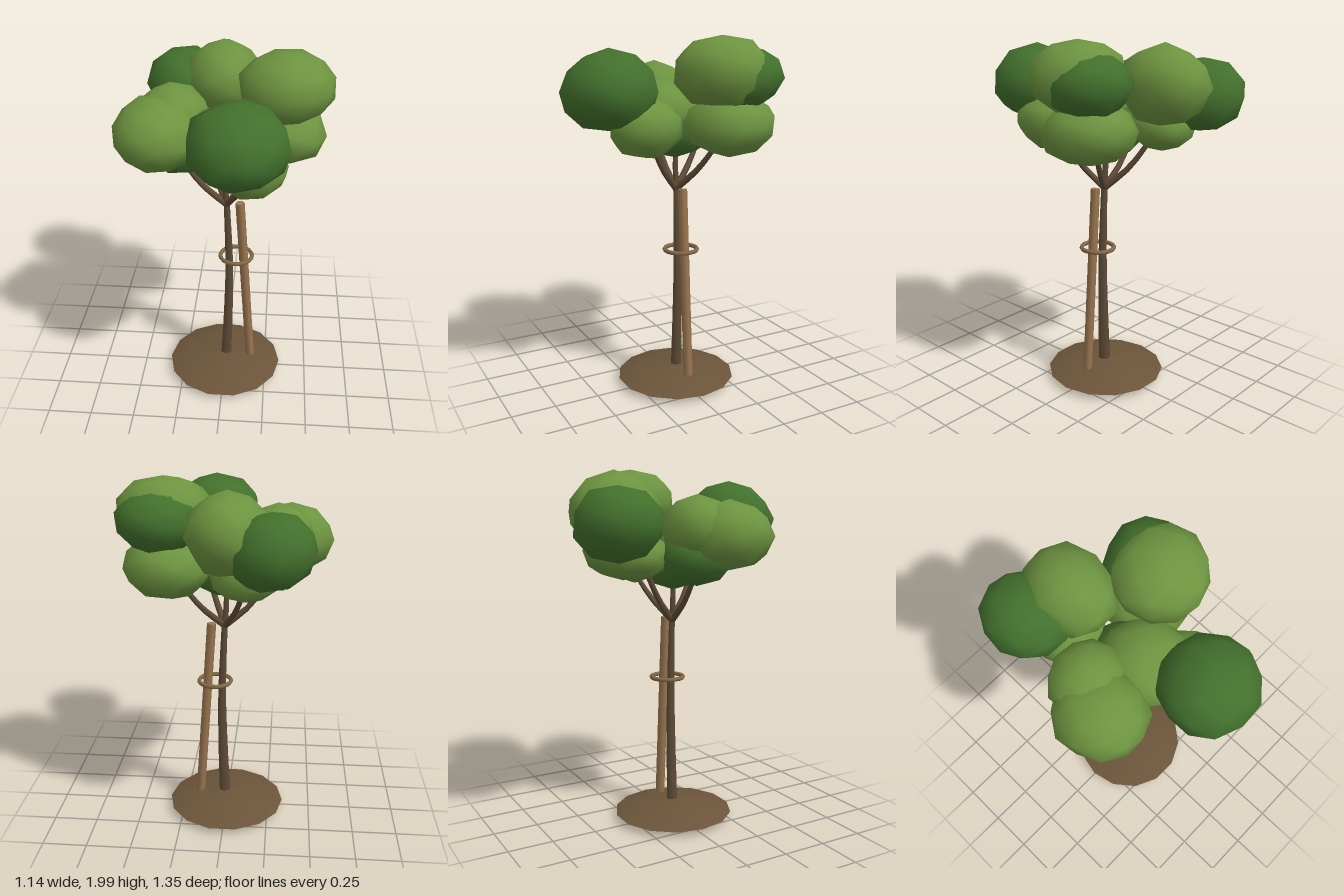
import * as THREE from 'three';
import { mergeVertices } from 'three/addons/utils/BufferGeometryUtils.js';

const V = (x, y, z) => new THREE.Vector3(x, y, z);

function material(name, color) {
  const m = new THREE.MeshStandardMaterial({ color });
  m.name = name;
  return m;
}

function seeded(seed) {
  return () => {
    seed = (seed * 16807) % 2147483647;
    return seed / 2147483647;
  };
}

// Smooth low-poly leaf clump with slightly uneven vertices
function clumpGeometry(random) {
  let g = new THREE.IcosahedronGeometry(1, 1);
  g.deleteAttribute('normal');
  g.deleteAttribute('uv');
  g = mergeVertices(g, 1e-3);
  const p = g.attributes.position;
  const v = V(0, 0, 0);
  const turn = random() * 6;
  for (let i = 0; i < p.count; i++) {
    v.fromBufferAttribute(p, i).multiplyScalar(0.98 + random() * 0.1);
    v.applyAxisAngle(V(0, 1, 0), turn);
    p.setXYZ(i, v.x, v.y, v.z);
  }
  g.computeVertexNormals();
  return g;
}

// Tube along a curve that narrows from r0 to r1
function taperedTube(points, r0, r1, sides, steps) {
  const curve = new THREE.CatmullRomCurve3(points);
  const g = new THREE.TubeGeometry(curve, steps, 1, sides, false);
  const p = g.attributes.position;
  const v = V(0, 0, 0);
  for (let i = 0; i < p.count; i++) {
    const t = Math.floor(i / (sides + 1)) / steps;
    const c = curve.getPointAt(t);
    v.fromBufferAttribute(p, i).sub(c).multiplyScalar(r0 + (r1 - r0) * t).add(c);
    p.setXYZ(i, v.x, v.y, v.z);
  }
  return g;
}

export function createModel() {
  const group = new THREE.Group();
  const soil = material('soil brown', 0x6b543a);
  const bark = material('bark brown', 0x5e4c37);
  const wood = material('stake wood', 0x9b7650);
  const tie = material('tie brown', 0x846a4a);
  const light = material('light leaf green', 0x6d9440);
  const dark = material('dark leaf green', 0x43712d);
  bark.side = THREE.DoubleSide;

  const add = (name, geometry, mat) => {
    const mesh = new THREE.Mesh(geometry, mat);
    mesh.name = name;
    group.add(mesh);
    return mesh;
  };

  // Earth mound with a flat underside
  const mound = [[0.339, 0.037], [0.2, 0.087], [0, 0.105]];
  const top = add('mound', new THREE.LatheGeometry(mound.map(([x, y]) => new THREE.Vector2(x, y)), 14), soil);
  top.rotation.y = Math.PI / 2;
  const base = add('moundBase', new THREE.CircleGeometry(0.339, 14), soil);
  base.rotation.x = Math.PI / 2;
  base.position.y = 0.037;

  // Slightly bowed trunk
  add('trunk', taperedTube(
    [V(0.008, 0.06, 0), V(0.02, 0.4, 0), V(0.025, 0.75, 0), V(0.008, 1.2, 0)],
    0.035, 0.018, 6, 8), bark);

  // Branches fanning out into the crown
  const tips = [
    [-0.25, 1.45, 0], [0.24, 1.45, -0.14], [0.14, 1.46, 0.22],
    [-0.12, 1.47, -0.24], [0, 1.48, 0],
  ];
  for (const [x, y, z] of tips) {
    add('branch', taperedTube(
      [V(0.008, 1.16, 0), V(x * 0.5, 1.16 + (y - 1.16) * 0.4, z * 0.5), V(x, y, z)],
      0.019, 0.013, 6, 5), bark);
  }

  // Leaning support stake, six-sided
  const foot = V(0.162, 0.005, 0), head = V(0.083, 1.17, 0);
  const stake = add('stake', new THREE.CylinderGeometry(
    0.026, 0.026, foot.distanceTo(head), 6, 1, false, Math.PI / 2), wood);
  stake.position.copy(foot).add(head).multiplyScalar(0.5);
  stake.quaternion.setFromUnitVectors(V(0, 1, 0), head.clone().sub(foot).normalize());

  // Tie ring around trunk and stake
  const ring = add('tieRing', new THREE.TorusGeometry(0.092, 0.012, 6, 18), tie);
  ring.rotation.x = Math.PI / 2;
  ring.position.set(0.065, 0.822, 0);

  // Leaf clumps: centre, radii, colour
  const clumps = [
    [-0.25, 1.7, -0.45, 0.215, 0.19, 0.225, dark],
    [-0.035, 1.76, -0.37, 0.205, 0.2, 0.245, light],
    [0.315, 1.815, -0.1, 0.25, 0.185, 0.245, light],
    [0.335, 1.785, -0.2, 0.22, 0.165, 0.205, dark],
    [0.09, 1.72, 0.427, 0.25, 0.2, 0.25, dark],
    [-0.345, 1.637, 0.14, 0.225, 0.18, 0.24, light],
    [-0.275, 1.675, -0.01, 0.195, 0.165, 0.18, light],
    [0, 1.6, 0.105, 0.23, 0.16, 0.23, light],
    [0.15, 1.53, 0.26, 0.18, 0.155, 0.19, light],
    [0.3, 1.54, -0.16, 0.235, 0.165, 0.24, light],
    [-0.12, 1.535, -0.3, 0.18, 0.13, 0.175, light],
    [-0.24, 1.53, 0.01, 0.19, 0.15, 0.2, dark],
    [0, 1.5, 0, 0.22, 0.155, 0.2, dark],
  ];
  const random = seeded(4711);
  for (const [x, y, z, rx, ry, rz, mat] of clumps) {
    const clump = add('leafClump', clumpGeometry(random), mat);
    clump.position.set(x, y, z);
    clump.scale.set(rx, ry, rz);
  }
  return group;
}
